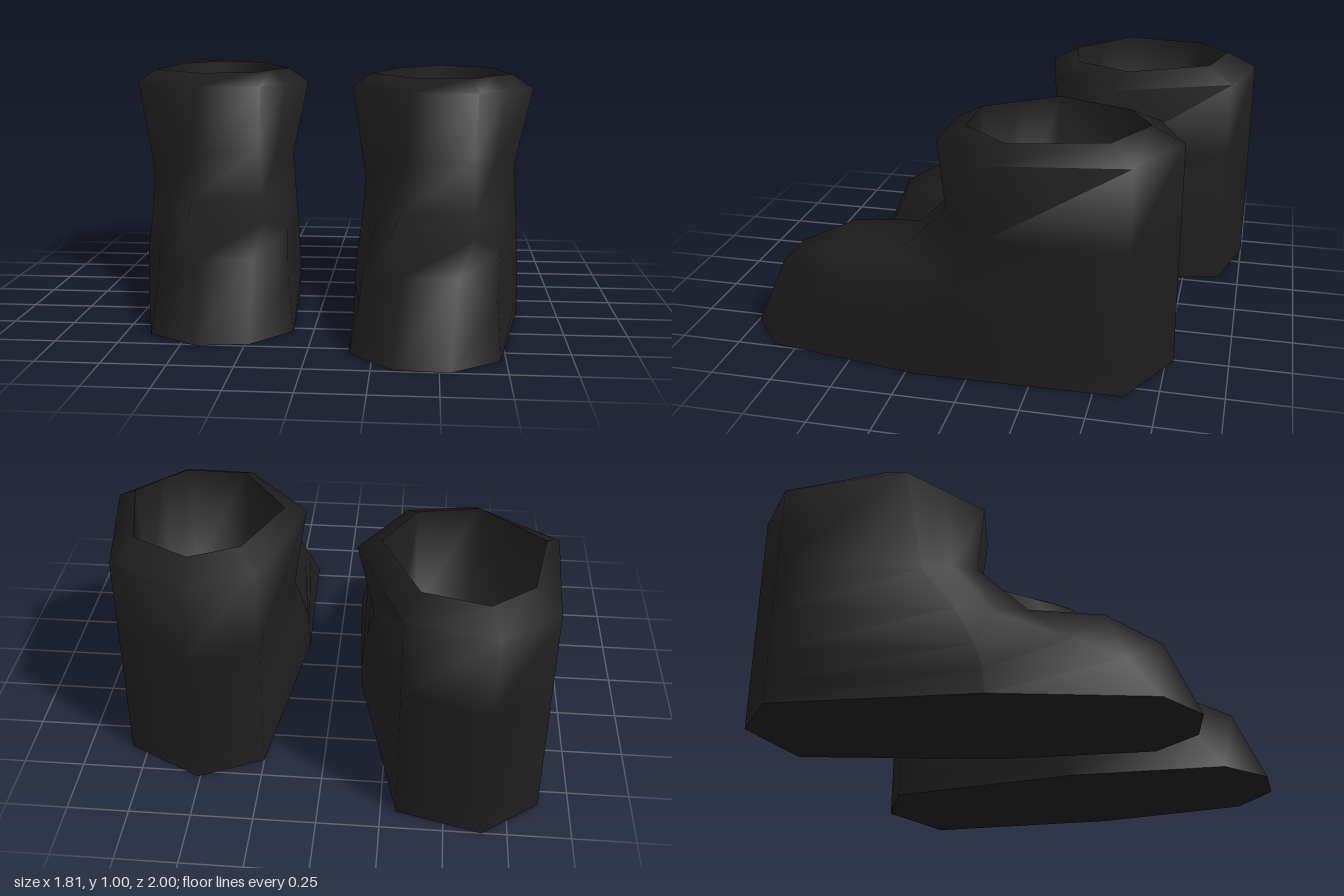
import * as THREE from 'three';
import { toCreasedNormals } from 'three/addons/utils/BufferGeometryUtils.js';

// Each ring runs clockwise from above:
// heel, +x heel, +x side, +x toe, tip, tip, -x toe, -x side, -x heel
const ring = (y, front) => [[0.51, y, -0.78], [0.82, y, -0.62], ...front, [0.25, y, -0.66]];

const opening = [
  [0.51, 0.995, -0.65], [0.74, 0.995, -0.53], [0.82, 0.99, -0.16], [0.73, 0.99, -0.06], [0.64, 0.985, 0.04],
  [0.39, 0.985, 0.035], [0.29, 0.985, -0.1], [0.19, 0.985, -0.24], [0.32, 0.99, -0.55],
];
const rim = ring(0.93, [[0.905, 0.93, -0.1], [0.782, 0.93, 0.025], [0.66, 0.93, 0.15],
  [0.38, 0.93, 0.14], [0.245, 0.93, -0.01], [0.11, 0.93, -0.16]]);
const ankle = ring(0.6, [[0.83, 0.6, -0.07], [0.74, 0.62, 0.04], [0.65, 0.64, 0.12],
  [0.37, 0.64, 0.12], [0.26, 0.59, 0.03], [0.175, 0.53, -0.09]]);
const instep = ring(0.4, [[0.832, 0.38, 0.06], [0.76, 0.42, 0.2], [0.65, 0.445, 0.32],
  [0.34, 0.445, 0.32], [0.235, 0.38, 0.19], [0.165, 0.36, 0.04]]);
const vamp = ring(0.22, [[0.835, 0.23, 0.15], [0.745, 0.34, 0.48], [0.64, 0.41, 0.62],
  [0.31, 0.41, 0.62], [0.195, 0.25, 0.48], [0.145, 0.2, 0.12]]);
const toeCap = ring(0.1, [[0.835, 0.1, 0.19], [0.72, 0.2, 0.73], [0.57, 0.31, 0.85],
  [0.36, 0.31, 0.85], [0.19, 0.17, 0.68], [0.143, 0.1, 0.15]]);
const sole = ring(0, [[0.833, 0, 0.2], [0.73, 0, 0.85], [0.54, 0, 0.998],
  [0.33, 0, 0.985], [0.16, 0, 0.81], [0.14, 0, 0.16]]);

// Lining ring: the opening narrowed and lowered
const lining = (y, s) => opening.map(([x, , z]) => [0.51 + (x - 0.51) * s, y, -0.29 + (z + 0.29) * s]);
// A ring of one repeated point closes an end
const point = (pts) => {
  const centre = [0, 1, 2].map((k) => pts.reduce((sum, p) => sum + p[k], 0) / pts.length);
  return pts.map(() => centre);
};

// Joins the rings from first to last
function skin(rings, crease) {
  const out = [];
  for (let i = 0; i + 1 < rings.length; i++) {
    const top = rings[i], low = rings[i + 1], n = top.length;
    for (let j = 0; j < n; j++) {
      const k = (j + 1) % n;
      if (top[j] !== top[k]) out.push(...top[j], ...top[k], ...low[k]);
      if (low[j] !== low[k]) out.push(...top[j], ...low[k], ...low[j]);
    }
  }
  const geometry = new THREE.BufferGeometry();
  geometry.setAttribute('position', new THREE.Float32BufferAttribute(out, 3));
  return toCreasedNormals(geometry, crease);
}

function makeBoot(name, material) {
  const boot = new THREE.Group();
  boot.name = name;
  const floor = lining(0.5, 0.96);
  const parts = {
    upper: skin([opening, rim, ankle, instep, vamp, toeCap, sole], 1.35),
    lining: skin([point(floor), floor, opening], 2.5),
    sole: skin([sole, point(sole)], 0.5),
  };
  for (const [part, geometry] of Object.entries(parts)) {
    const mesh = new THREE.Mesh(geometry, material);
    mesh.name = part;
    boot.add(mesh);
  }
  return boot;
}

export function createModel() {
  const model = new THREE.Group();
  model.name = 'pairOfBoots';
  const leather = new THREE.MeshStandardMaterial({ color: 0x1e1e1e });
  leather.name = 'blackLeather';

  const left = makeBoot('leftBoot', leather);
  // The right boot has the same shape, set back and turned inwards
  const right = makeBoot('rightBoot', leather);
  right.rotation.y = THREE.MathUtils.degToRad(12.6);
  right.position.set(-0.978, 0, -0.128);
  model.add(left, right);
  return model;
}
